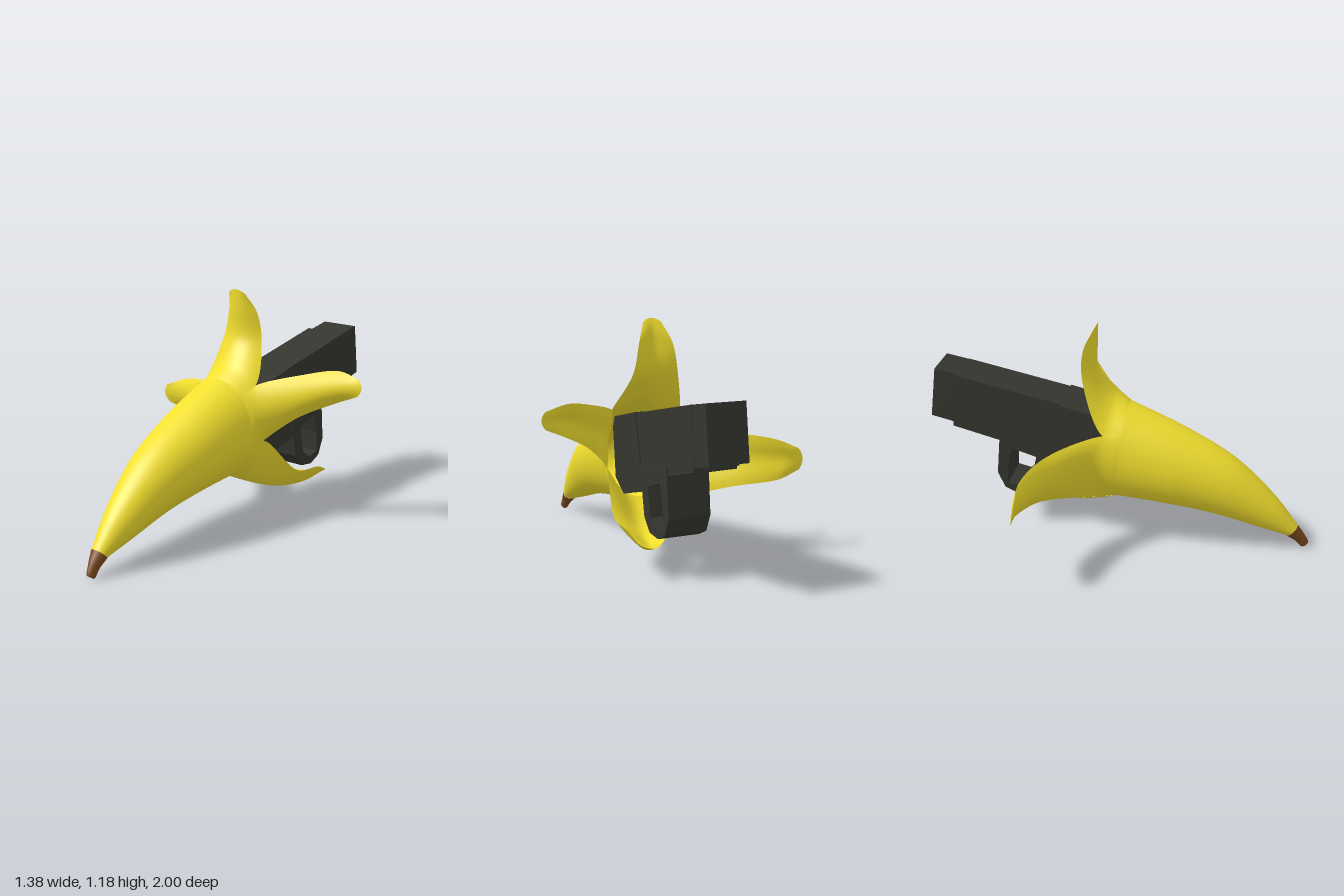
import * as THREE from 'three';
import { mergeGeometries } from 'three/addons/utils/BufferGeometryUtils.js';

const yellow = new THREE.MeshStandardMaterial({ color: 0xf2df2e, side: THREE.DoubleSide });
const brown = new THREE.MeshStandardMaterial({ color: 0x7a4a1e });
const dark = new THREE.MeshStandardMaterial({ color: 0x35362f });
const V = (x, y, z) => new THREE.Vector3(x, y, z);

// Surface from point(u, v): u runs across, v along
function sheet(point, cols, rows, flip = false) {
  const pos = [], idx = [];
  for (let i = 0; i <= rows; i++)
    for (let j = 0; j <= cols; j++) pos.push(...point(j / cols, i / rows).toArray());
  for (let i = 0; i < rows; i++)
    for (let j = 0; j < cols; j++) {
      const a = i * (cols + 1) + j, b = a + cols + 1;
      if (flip) idx.push(a, a + 1, b, b, a + 1, b + 1);
      else idx.push(a, b, a + 1, b, b + 1, a + 1);
    }
  const g = new THREE.BufferGeometry();
  g.setAttribute('position', new THREE.Float32BufferAttribute(pos, 3));
  g.setIndex(idx);
  g.computeVertexNormals();
  return g;
}

// Oval tube through sections [top z, top y, bottom z, bottom y, min x, max x]
function ovalTube(sections) {
  const top = new THREE.CatmullRomCurve3(sections.map(s => V(0, s[1], s[0])));
  const bottom = new THREE.CatmullRomCurve3(sections.map(s => V(0, s[3], s[2])));
  const sides = new THREE.CatmullRomCurve3(sections.map(s => V(s[4], s[5], 0)));
  return (angle, t) => {
    const a = top.getPoint(t), b = bottom.getPoint(t), s = sides.getPoint(t);
    const p = a.clone().add(b).multiplyScalar(0.5);
    p.addScaledVector(a.sub(b), Math.sin(angle) / 2);
    p.x = (s.x + s.y) / 2 + Math.cos(angle) * (s.y - s.x) / 2;
    return p;
  };
}

// Tube mesh with smooth shading across its seam
function tubeGeometry(surface, cols, rows) {
  const g = sheet((u, v) => surface(u * Math.PI * 2, v), cols, rows);
  const n = g.attributes.normal;
  for (let i = 0; i <= rows; i++) {
    const a = i * (cols + 1), b = a + cols;
    const m = V(0, 0, 0).fromBufferAttribute(n, a).add(V(0, 0, 0).fromBufferAttribute(n, b)).normalize();
    n.setXYZ(a, m.x, m.y, m.z);
    n.setXYZ(b, m.x, m.y, m.z);
  }
  return g;
}

const bodySurface = ovalTube([
  [0.94, 0.13, 0.885, 0.077, 0.015, 0.10],
  [0.82, 0.285, 0.73, 0.12, -0.033, 0.14],
  [0.60, 0.49, 0.50, 0.185, -0.095, 0.19],
  [0.33, 0.64, 0.27, 0.222, -0.14, 0.23],
  [0.05, 0.76, 0.0, 0.245, -0.165, 0.255],
]);
const stemSurface = ovalTube([
  [0.985, 0.015, 0.98, 0.01, 0.068, 0.072],
  [1.0, 0.028, 0.965, 0.004, 0.052, 0.088],
  [0.985, 0.065, 0.93, 0.04, 0.04, 0.09],
  [0.94, 0.132, 0.883, 0.075, 0.013, 0.102],
]);

// Notches between the peels: rim angle in degrees and split point
const upperLeft = { angle: 48, point: V(0.22, 0.735, -0.04) };
const upperRight = { angle: 145, point: V(-0.145, 0.66, -0.05) };
const lowerRight = { angle: 240, point: V(-0.06, 0.265, -0.06) };
const lowerLeft = { angle: 340, point: V(0.258, 0.45, -0.06) };

// Peel between two notches: middle line, half width along side, edges curled by cup
function peelGeometry(start, end, middle, side, cup) {
  const from = start.angle > end.angle ? start.angle - 360 : start.angle;
  const rim = u => bodySurface(THREE.MathUtils.degToRad(from + (end.angle - from) * u), 1);
  const edge = (notch, sign) => [notch.point, ...middle.slice(1).map((p, i) => {
    const tip = i === 2;
    return p.clone().lerp(middle[i], tip ? 0.15 : 0)
      .addScaledVector(side, sign * [0.7, 0.52, 0.28][i])
      .addScaledVector(cup, tip ? 0.2 : 1);
  })];
  const line = (points, u) => new THREE.CatmullRomCurve3([rim(u), ...points]);
  const f = line(edge(start, -1), 0), m = line(middle, 0.5), s = line(edge(end, 1), 1);
  const across = (u, v) => f.getPoint(v).multiplyScalar((1 - u) * (1 - 2 * u))
    .addScaledVector(m.getPoint(v), 4 * u * (1 - u))
    .addScaledVector(s.getPoint(v), u * (2 * u - 1));
  // Outer skin keeps the rim's arc, fading along the peel
  const outer = (u, v) => across(u, v).addScaledVector(rim(u).sub(across(u, 0)), (1 - v) ** 4);
  // Inner skin meets the outer one at the edges and the tip
  const inner = (u, v) => {
    const e = 0.01;
    const du = outer(Math.min(1, u + e), v).sub(outer(Math.max(0, u - e), v));
    const dv = outer(u, Math.min(1, v + e)).sub(outer(u, Math.max(0, v - e)));
    const depth = 0.035 * (1 - (2 * u - 1) ** 4) * (1 - v ** 6);
    return outer(u, v).addScaledVector(dv.cross(du).normalize(), -depth);
  };
  return mergeGeometries([sheet(outer, 20, 36), sheet(inner, 20, 36, true)]);
}

// Side profile in (-z, y), extruded from x0 to x1
function profilePart(points, x0, x1, hole = []) {
  const toVec = p => new THREE.Vector2(...p);
  const shape = new THREE.Shape(points.map(toVec));
  if (hole.length) shape.holes.push(new THREE.Path(hole.map(toVec)));
  const g = new THREE.ExtrudeGeometry(shape, { depth: x1 - x0, bevelEnabled: false });
  return g.rotateY(Math.PI / 2).translate(x0, 0, 0);
}

export function createModel() {
  const model = new THREE.Group();
  const add = (name, geometry, material) => {
    const mesh = new THREE.Mesh(geometry, material);
    mesh.name = name;
    model.add(mesh);
  };

  // Fruit
  add('stem', tubeGeometry(stemSurface, 24, 16), brown);
  add('bananaBody', tubeGeometry(bodySurface, 48, 40), yellow);

  // Peels, each curving away from the rim
  add('topPeel', peelGeometry(upperLeft, upperRight,
    [V(0.04, 0.815, -0.03), V(0.04, 0.94, -0.108), V(0.04, 1.09, -0.11), V(0.038, 1.188, -0.108)],
    V(-0.175, 0, 0), V(0, -0.02, -0.055)), yellow);
  add('rightPeel', peelGeometry(upperRight, lowerRight,
    [V(-0.19, 0.49, -0.1), V(-0.37, 0.487, -0.28), V(-0.57, 0.48, -0.36), V(-0.69, 0.47, -0.375)],
    V(0.01, -0.19, -0.03), V(0.04, 0, -0.03)), yellow);
  add('bottomPeel', peelGeometry(lowerRight, lowerLeft,
    [V(0.14, 0.225, -0.07), V(0.185, 0.138, -0.26), V(0.23, 0.122, -0.44), V(0.27, 0.16, -0.555)],
    V(0.19, 0.055, 0), V(0, 0.075, -0.01)), yellow);
  add('leftPeel', peelGeometry(lowerLeft, upperLeft,
    [V(0.28, 0.61, -0.02), V(0.42, 0.68, -0.125), V(0.58, 0.735, -0.23), V(0.685, 0.747, -0.282)],
    V(0, 0.155, -0.015), V(-0.025, 0, -0.04)), yellow);

  // Blaster
  add('rearBlock', profilePart([[0.04, 0.65], [0.07, 0.4], [0.163, 0.334], [0.377, 0.388],
    [0.29, 0.757], [0.06, 0.705]], -0.045, 0.215), dark);
  add('slide', profilePart([[0.25, 0.745], [0.3, 0.44], [0.872, 0.582], [0.837, 0.864]], -0.02, 0.207), dark);
  add('lowerRail', profilePart([[0.35, 0.44], [0.876, 0.57], [0.872, 0.6], [0.35, 0.48]], -0.005, 0.212), dark);
  add('muzzle', profilePart([[0.83, 0.862], [0.865, 0.588], [0.995, 0.617], [0.96, 0.885]], 0.004, 0.205), dark);
  add('triggerGuard', profilePart(
    [[0.35, 0.52], [0.4, 0.27], [0.457, 0.206], [0.543, 0.195], [0.612, 0.227], [0.65, 0.313], [0.628, 0.55]],
    0, 0.218,
    [[0.436, 0.425], [0.468, 0.281], [0.527, 0.238], [0.596, 0.254], [0.591, 0.36], [0.564, 0.463]]), dark);
  return model;
}
